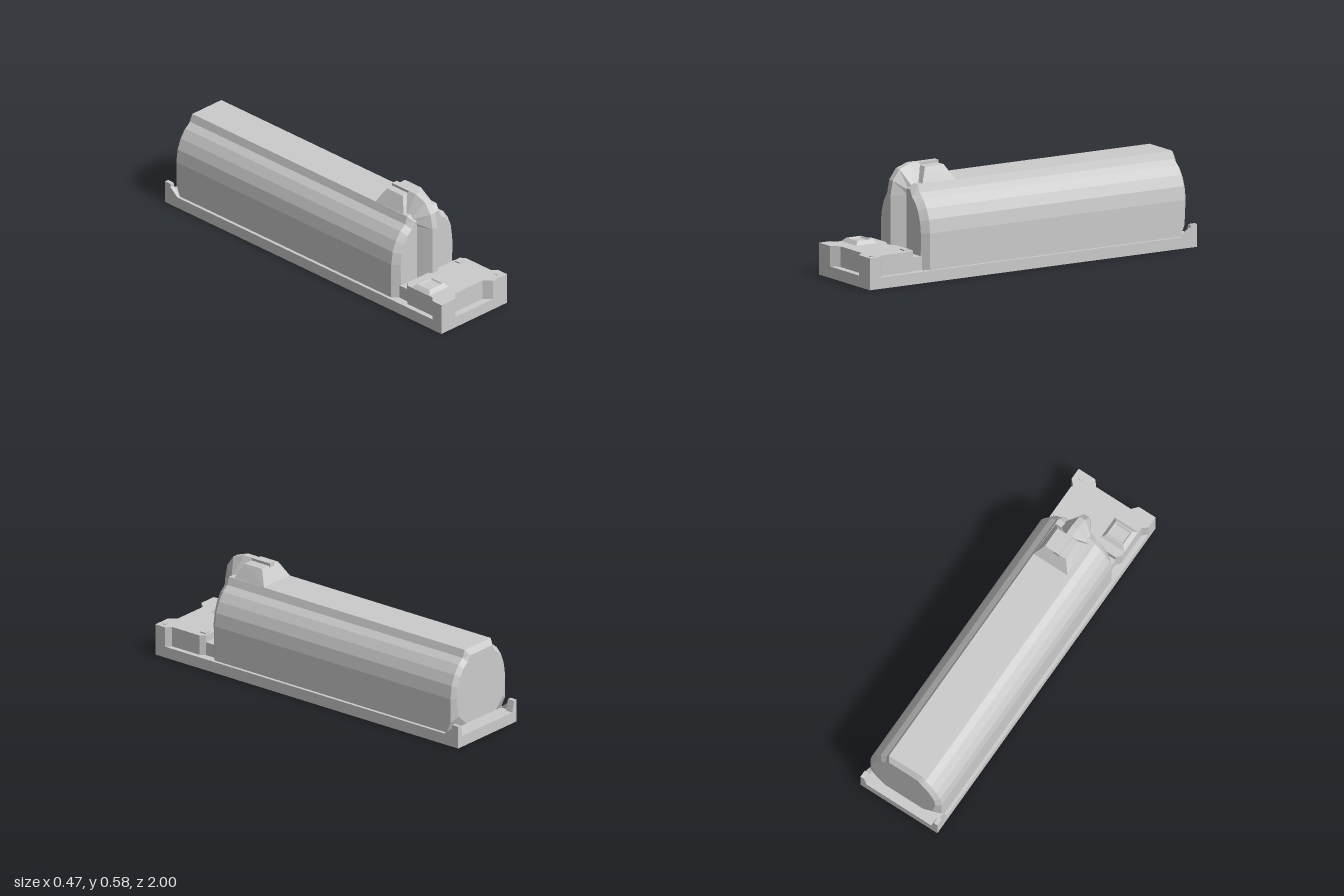
import * as THREE from 'three';
import { ConvexGeometry } from 'three/addons/geometries/ConvexGeometry.js';

const material = new THREE.MeshStandardMaterial({ color: 0xcccccc, flatShading: true });

function add(group, name, geometry, x = 0, y = 0, z = 0) {
  const mesh = new THREE.Mesh(geometry, material);
  mesh.name = name;
  mesh.position.set(x, y, z);
  group.add(mesh);
  return mesh;
}

const box = (w, h, d) => new THREE.BoxGeometry(w, h, d);

// Mirror half an outline in x to close it
const mirrored = (half) => [...half, ...half.map(([x, ...rest]) => [-x, ...rest]).reverse()];

// Closed loft through rings of [x, y, z] points, with fan caps
function loft(rings) {
  const n = rings[0].length;
  const tris = [];
  for (let i = 0; i < rings.length - 1; i++) {
    for (let j = 0; j < n; j++) {
      const k = (j + 1) % n;
      const [a, b, c, d] = [rings[i][j], rings[i][k], rings[i + 1][k], rings[i + 1][j]];
      tris.push([a, b, c], [a, c, d]);
    }
  }
  const first = rings[0], last = rings[rings.length - 1];
  for (let j = 1; j < n - 1; j++) {
    tris.push([first[0], first[j + 1], first[j]], [last[0], last[j], last[j + 1]]);
  }
  // Turn the faces outward according to the enclosed volume
  let volume = 0;
  for (const [a, b, c] of tris) {
    volume += new THREE.Vector3(...a).dot(new THREE.Vector3(...b).cross(new THREE.Vector3(...c)));
  }
  if (volume < 0) tris.forEach((t) => t.reverse());
  const geometry = new THREE.BufferGeometry();
  geometry.setAttribute('position', new THREE.Float32BufferAttribute(tris.flat(2), 3));
  geometry.computeVertexNormals();
  return geometry;
}

// Plan outline of [x, z] points extruded upward
function slab(outline, y0, y1, holes = []) {
  const points = (list) => list.map(([x, z]) => new THREE.Vector2(x, -z));
  const shape = new THREE.Shape(points(outline));
  for (const hole of holes) shape.holes.push(new THREE.Path(points(hole)));
  const geometry = new THREE.ExtrudeGeometry(shape, { depth: y1 - y0, bevelEnabled: false });
  return geometry.rotateX(-Math.PI / 2).translate(0, y0, 0);
}

const rect = (hw, z0, z1) => [[-hw, z0], [hw, z0], [hw, z1], [-hw, z1]];
const hull = (points) => new ConvexGeometry(points.map((p) => new THREE.Vector3(...p)));

function buildBase(model) {
  const base = new THREE.Group();
  base.name = 'base';
  model.add(base);

  // Underframe with open cells below and a thin deck above
  const trays = [[0.61, 0.41], [-0.03, -0.24], [-0.68, -0.89]];
  const cells = [[0.97, 0.83], [0.79, 0.65], [0.37, 0.01], [-0.28, -0.64], ...trays];
  add(base, 'underframe', slab(rect(0.237, 1, -1), 0, 0.06, cells.map(([a, b]) => rect(0.21, a, b))));
  add(base, 'deck', box(0.46, 0.014, 1.98), 0, 0.052, 0);

  // Chamfered trays under the deck
  for (const [a, b] of trays) {
    const outline = mirrored([[0.17, a], [0.205, a - 0.04], [0.205, b + 0.04], [0.17, b]]);
    add(base, 'tray', slab(outline, 0.025, 0.05));
  }

  // Rear corner posts
  for (const s of [-1, 1]) {
    const z = [-1, -0.96];
    add(base, 'rearPost', hull(z.flatMap((d) => [
      [s * 0.237, 0.06, d], [s * 0.237, 0.12, d], [s * 0.215, 0.12, d], [s * 0.2, 0.06, d],
    ])));
    add(base, 'postFoot', hull([0.218, 0.237].flatMap((x) => [
      [s * x, 0.06, -0.97], [s * x, 0.11, -0.97], [s * x, 0.06, -0.91],
    ])));
  }
}

function buildFrontBlock(model) {
  const front = new THREE.Group();
  front.name = 'frontBlock';
  model.add(front);

  // Block with a recess in the front and both sides
  const half = [[0.1, 0.96], [0.135, 1], [0.237, 1], [0.237, 0.935], [0.21, 0.91],
    [0.21, 0.73], [0.19, 0.705]];
  add(front, 'block', slab(mirrored(half), 0.058, 0.167));
  add(front, 'neck', box(0.38, 0.075, 0.12), 0, 0.0925, 0.66);

  // Raised hatch frame and its panel
  const ring = (hw, hd, y) => [[-hw, y, -hd], [hw, y, -hd], [hw, y, hd], [-hw, y, hd]];
  add(front, 'hatch', loft([
    ring(0.073, 0.066, 0.165), ring(0.052, 0.045, 0.186),
    ring(0.046, 0.038, 0.186), ring(0.042, 0.034, 0.179),
  ]), -0.137, 0, 0.82);
  add(front, 'boss', new THREE.CylinderGeometry(0.014, 0.014, 0.006, 8), 0.2, 0.169, 0.965);
  add(front, 'latch', box(0.035, 0.008, 0.035), 0.16, 0.169, 0.735);
}

function buildBody(model) {
  const body = new THREE.Group();
  body.name = 'body';
  model.add(body);

  // Long rounded hull with bevelled ends
  const section = [[0.22, 0.06], [0.22, 0.12], [0.22, 0.25], [0.21, 0.32], [0.187, 0.375],
    [0.155, 0.42], [0.12, 0.447], [0.105, 0.487]];
  const frontFace = [[0.185, 0.06], [0.185, 0.12], [0.187, 0.25], [0.178, 0.31],
    [0.16, 0.36], [0.135, 0.4], [0.105, 0.425], [0.085, 0.462]];
  const rearFace = [[0.12, 0.09], [0.175, 0.145], [0.197, 0.25], [0.188, 0.31],
    [0.168, 0.36], [0.14, 0.4], [0.108, 0.425], [0.09, 0.457]];
  const at = (half, z) => mirrored(half.map(([x, y]) => [x, y, z]));
  const rearEdge = mirrored(section.map(([x, y]) => [x, y, y < 0.1 ? -0.91 : -0.935]));
  add(body, 'hull', loft([at(frontFace, 0.655), at(section, 0.62), rearEdge, at(rearFace, -0.957)]));

  // Hump on the roof behind the fin
  add(body, 'hump', hull([-1, 1].flatMap((s) => [
    [s * 0.105, 0.487, 0.39], [s * 0.12, 0.447, 0.39], [s * 0.12, 0.447, 0.61],
    [s * 0.065, 0.565, 0.435], [s * 0.065, 0.565, 0.55],
  ])));

  // Wedge-shaped fin: ridge z, ridge y, foot z, foot y, foot half width
  const steps = [
    [0.55, 0.58, 0.55, 0.47, 0.083],
    [0.6, 0.58, 0.6, 0.47, 0.083],
    [0.67, 0.556, 0.63, 0.467, 0.083],
    [0.71, 0.5, 0.645, 0.45, 0.07],
    [0.725, 0.42, 0.65, 0.43, 0.062],
    [0.725, 0.13, 0.65, 0.13, 0.062],
  ];
  add(body, 'fin', loft(steps.map(([rz, ry, fz, fy, hw]) => [
    [-hw, fy, fz], [-0.017, ry, rz], [0.017, ry, rz], [hw, fy, fz],
  ])), -0.008);
  add(body, 'finCrest', box(0.034, 0.08, 0.125), -0.008, 0.539, 0.4925);
}

export function createModel() {
  const model = new THREE.Group();
  model.name = 'model';
  buildBase(model);
  buildFrontBlock(model);
  buildBody(model);
  return model;
}
